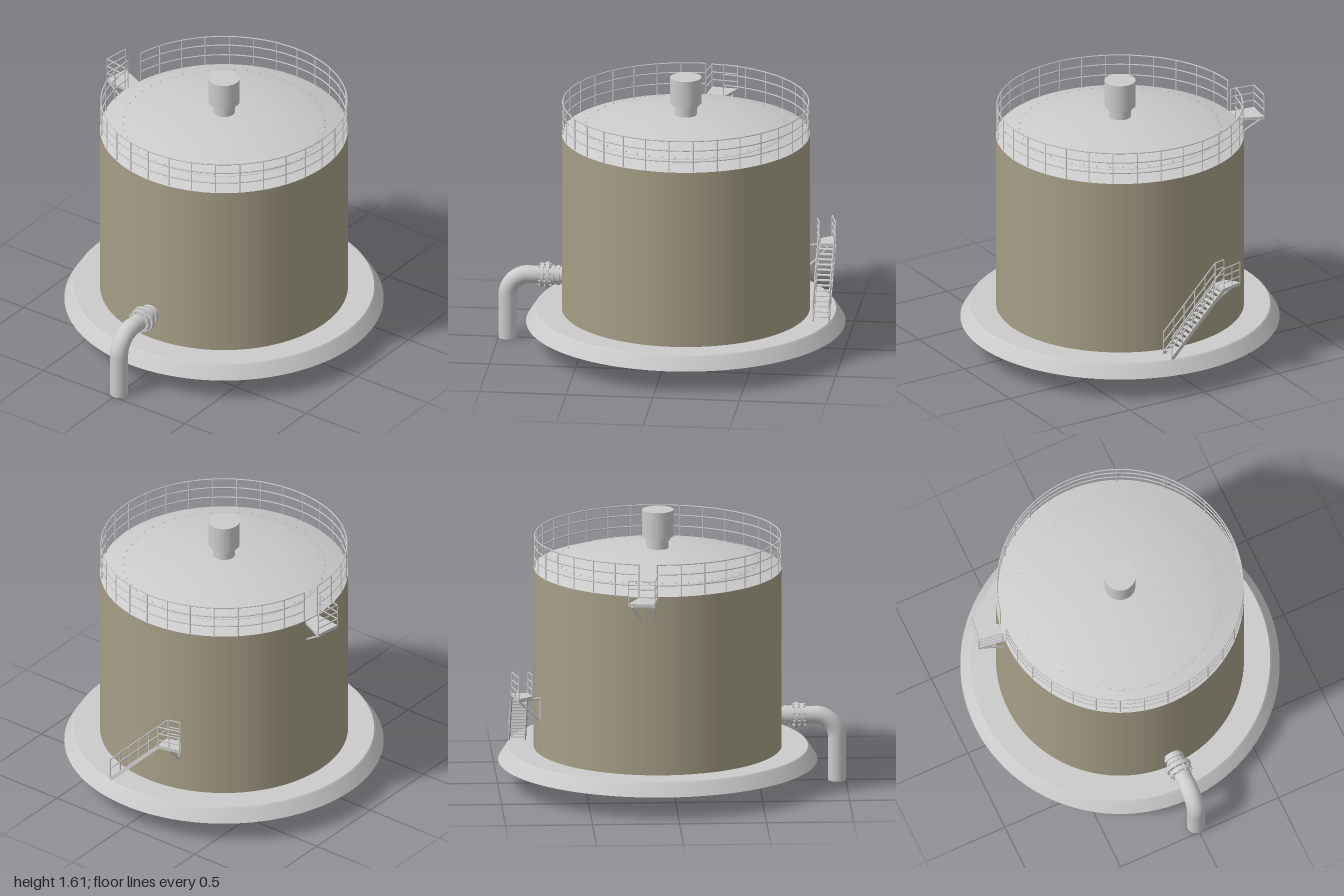
import * as THREE from 'three';

const grey = new THREE.MeshStandardMaterial({ color: 0xcccccc });
const greyTwoSided = new THREE.MeshStandardMaterial({ color: 0xcccccc, side: THREE.DoubleSide });
const beige = new THREE.MeshStandardMaterial({ color: 0xa59e86, side: THREE.DoubleSide });
const V = (x, y, z) => new THREE.Vector3(x, y, z);
const CX = 0.08, R = 0.712, TOP = 1.27;

function add(parent, name, geometry, material = grey) {
  const mesh = new THREE.Mesh(geometry, material);
  mesh.name = name;
  parent.add(mesh);
  return mesh;
}

function group(parent, name) {
  const g = new THREE.Group();
  g.name = name;
  parent.add(g);
  return g;
}

// Round bar between two points
function bar(parent, name, a, b, r = 0.004) {
  const d = b.clone().sub(a);
  const m = add(parent, name, new THREE.CylinderGeometry(r, r, d.length(), 6));
  m.position.copy(a).add(b).multiplyScalar(0.5);
  m.quaternion.setFromUnitVectors(V(0, 1, 0), d.normalize());
}

// Straight handrail: posts at both ends and between, plus rails at each height
function handrail(parent, a, b, height, levels, spans = 1) {
  for (let i = 0; i <= spans; i++) {
    const p = a.clone().lerp(b, i / spans);
    bar(parent, 'railPost', p, p.clone().setY(p.y + height));
  }
  for (const f of levels) {
    const up = V(0, height * f, 0);
    bar(parent, 'rail', a.clone().add(up), b.clone().add(up));
  }
}

// Flat deck from [x, z] corners
function deck(parent, name, corners, y, t) {
  const shape = new THREE.Shape(corners.map(([x, z]) => new THREE.Vector2(x, -z)));
  const geo = new THREE.ExtrudeGeometry(shape, { depth: t, bevelEnabled: false });
  geo.rotateX(-Math.PI / 2);
  add(parent, name, geo, greyTwoSided).position.y = y - t;
}

const lathe = (pts, n = 96) => new THREE.LatheGeometry(pts.map(([x, y]) => new THREE.Vector2(x, y)), n);

function buildTank(root) {
  const tank = group(root, 'tank');
  tank.position.x = CX;

  // Bevelled foundation ring, open in the middle
  add(tank, 'foundationRing', lathe([[R, 0.135], [0.917, 0.135], [0.917, 0.135], [0.872, 0.205],
    [0.862, 0.215], [0.862, 0.215], [R, 0.215]]), greyTwoSided);
  add(tank, 'wall', new THREE.CylinderGeometry(R, R, TOP - 0.135, 96, 1, true), beige)
    .position.y = (TOP + 0.135) / 2;

  // Shallow domed roof with a raised central panel
  const roofY = r => 1.383 - 0.113 * (r / R) ** 2;
  const edge = 0.588;
  add(tank, 'roofEdge', lathe([[R, TOP], [0.65, roofY(0.65)], [edge, roofY(edge)]]), greyTwoSided);
  const dome = [];
  for (let i = 0; i <= 10; i++) dome.push([edge * (1 - i / 10), roofY(edge * (1 - i / 10)) + 0.004]);
  add(tank, 'roofDome', lathe([[edge, roofY(edge)], ...dome]), greyTwoSided);
  const bolts = group(tank, 'roofBolts');
  for (let i = 0; i < 48; i++) {
    const a = i / 48 * Math.PI * 2;
    add(bolts, 'roofBolt', new THREE.CylinderGeometry(0.004, 0.004, 0.01, 6))
      .position.set(0.578 * Math.cos(a), roofY(0.578) + 0.006, 0.578 * Math.sin(a));
  }

  // Vent on the roof
  const vent = group(tank, 'roofVent');
  for (const [name, r, y0, y1] of [['ventStem', 0.063, 1.37, 1.46], ['ventCollar', 0.07, 1.432, 1.452],
    ['ventCap', 0.09, 1.455, 1.61]])
    add(vent, name, new THREE.CylinderGeometry(r, r, y1 - y0, 48)).position.y = (y0 + y1) / 2;

  // Circular guard rail with an opening at the rear platform
  const guard = group(tank, 'guardRail');
  const rr = R - 0.006, start = Math.PI / 2 - 0.05, arc = Math.PI * 2 - 0.15;
  for (const y of [1.458, 1.4, 1.335]) {
    const g = new THREE.TorusGeometry(rr, 0.004, 6, 120, arc);
    g.rotateZ(start).rotateX(-Math.PI / 2);
    add(guard, 'guardRing', g).position.y = y;
  }
  const posts = 31;
  for (let i = 0; i <= posts; i++) {
    const a = start + arc * i / posts, x = rr * Math.cos(a), z = -rr * Math.sin(a);
    bar(guard, 'guardPost', V(x, TOP, z), V(x, 1.46, z));
  }
}

// Small platform outside the rear of the roof
function buildRearPlatform(root) {
  const g = group(root, 'rearPlatform');
  const c = [[0.115, -0.71], [0.136, -0.868], [0.286, -0.845], [0.22, -0.7]];
  deck(g, 'rearDeck', c, 1.265, 0.018);
  const p = c.map(([x, z]) => V(x, 1.26, z));
  const levels = [1, 0.66, 0.33];
  p[0].z -= 0.015;
  handrail(g, p[0], p[1], 0.14, levels);
  handrail(g, p[1], p[2], 0.14, levels);
  bar(g, 'rearBrace', V(0.145, 1.245, -0.86), V(0.125, 1.14, -0.71), 0.006);
  bar(g, 'rearBrace', V(0.265, 1.245, -0.84), V(0.205, 1.14, -0.7), 0.006);
}

// Stair flight and landing beside the wall
function buildStairs(root) {
  const g = group(root, 'stairs');
  const y0 = 0.215, y1 = 0.57, z0 = 0.17, z1 = -0.18;
  const len = Math.hypot(y1 - y0, z1 - z0);
  for (const x of [0.833, 0.925]) {
    const s = add(g, 'stringer', new THREE.BoxGeometry(0.007, 0.022, len));
    s.position.set(x, (y0 + y1) / 2, (z0 + z1) / 2);
    s.rotation.x = Math.atan2(y1 - y0, z0 - z1);
    handrail(g, V(x, y0, z0), V(x, y1, z1), 0.135, [1, 0.55], 5);
  }
  const steps = 15;
  for (let i = 1; i < steps; i++) {
    const t = i / steps;
    add(g, 'tread', new THREE.BoxGeometry(0.088, 0.005, 0.026))
      .position.set(0.879, y0 + (y1 - y0) * t, z0 + (z1 - z0) * t);
  }
  deck(g, 'landing', [[0.83, -0.17], [0.81, -0.25], [0.89, -0.312], [0.928, -0.17]], y1 + 0.005, 0.02);
  const levels = [1, 0.66, 0.33];
  handrail(g, V(0.83, y1, z1), V(0.812, y1, -0.25), 0.13, levels);
  handrail(g, V(0.926, y1, z1), V(0.892, y1, -0.308), 0.13, levels, 2);
  // Wall bracket
  bar(g, 'bracketArm', V(0.76, 0.55, -0.205), V(0.9, 0.55, -0.24), 0.007);
  bar(g, 'bracketBrace', V(0.76, 0.415, -0.205), V(0.895, 0.55, -0.238), 0.007);
  bar(g, 'bracketPost', V(0.762, 0.41, -0.205), V(0.762, 0.555, -0.205), 0.007);
}

// Bent pipe with flanges entering the wall
function buildPipe(root) {
  const g = group(root, 'outletPipe');
  const px = -0.95, py = 0.385, b = 0.13, r = 0.052;
  add(g, 'verticalPipe', new THREE.CylinderGeometry(r, r, py - b, 32)).position.set(px, (py - b) / 2, 0);
  const elbow = new THREE.TorusGeometry(b, r, 32, 20, Math.PI / 2);
  elbow.rotateZ(Math.PI / 2);
  add(g, 'elbow', elbow).position.set(px + b, py - b, 0);
  const disc = (name, x0, x1, rad) => {
    const m = add(g, name, new THREE.CylinderGeometry(rad, rad, x1 - x0, 32));
    m.rotation.z = Math.PI / 2;
    m.position.set((x0 + x1) / 2, py, 0);
  };
  disc('horizontalPipe', px + b, -0.62, r - 0.002);
  disc('flange', -0.757, -0.737, 0.068);
  disc('flange', -0.725, -0.705, 0.075);
  disc('collar', -0.69, -0.677, 0.058);
  disc('collar', -0.664, -0.645, 0.058);
  for (let i = 0; i < 8; i++) {
    const a = (i + 0.5) / 8 * Math.PI * 2, y = py + 0.061 * Math.cos(a), z = 0.061 * Math.sin(a);
    bar(g, 'flangeBolt', V(-0.767, y, z), V(-0.694, y, z), 0.007);
  }
}

export function createModel() {
  const root = new THREE.Group();
  root.name = 'storageTank';
  buildTank(root);
  buildRearPlatform(root);
  buildStairs(root);
  buildPipe(root);
  return root;
}
